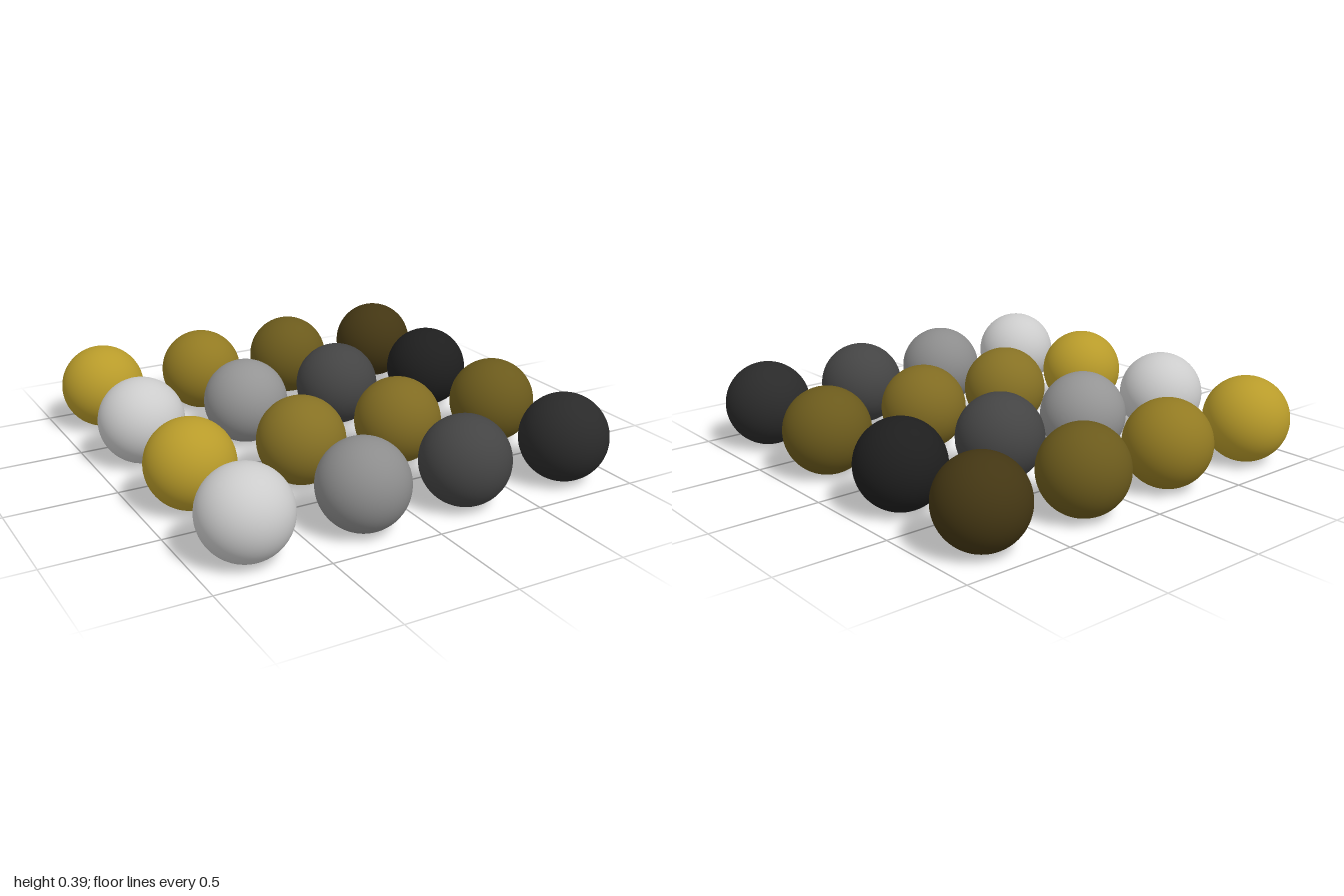
import * as THREE from 'three';

const RADIUS = 0.197;
const COLUMNS = [-0.773, -0.25, 0.246, 0.773];

// Rows from back to front, each with its colours from right (-x) to left (+x)
const ROWS = [
  { name: 'backGoldBall', z: -0.803, colors: [0xb89b2a, 0x927a22, 0x6b5a1c, 0x433613] },
  { name: 'backGreyBall', z: -0.28, colors: [0xcccccc, 0x949494, 0x444444, 0x1e1e1e] },
  { name: 'frontGoldBall', z: 0.278, colors: [0xb89b2a, 0x867124, 0x806b22, 0x6b5a1c] },
  { name: 'frontGreyBall', z: 0.803, colors: [0xcccccc, 0x8c8c8c, 0x444444, 0x2a2a2a] },
];

export function createModel() {
  const group = new THREE.Group();
  group.name = 'ballGrid';
  const ball = new THREE.SphereGeometry(RADIUS, 64, 40);

  // Four rows of four equal balls resting on the ground plane
  for (const { name, z, colors } of ROWS) {
    colors.forEach((color, i) => {
      const mesh = new THREE.Mesh(ball, new THREE.MeshStandardMaterial({ color }));
      mesh.name = `${name}${i + 1}`;
      mesh.position.set(COLUMNS[i], RADIUS, z);
      group.add(mesh);
    });
  }
  return group;
}
